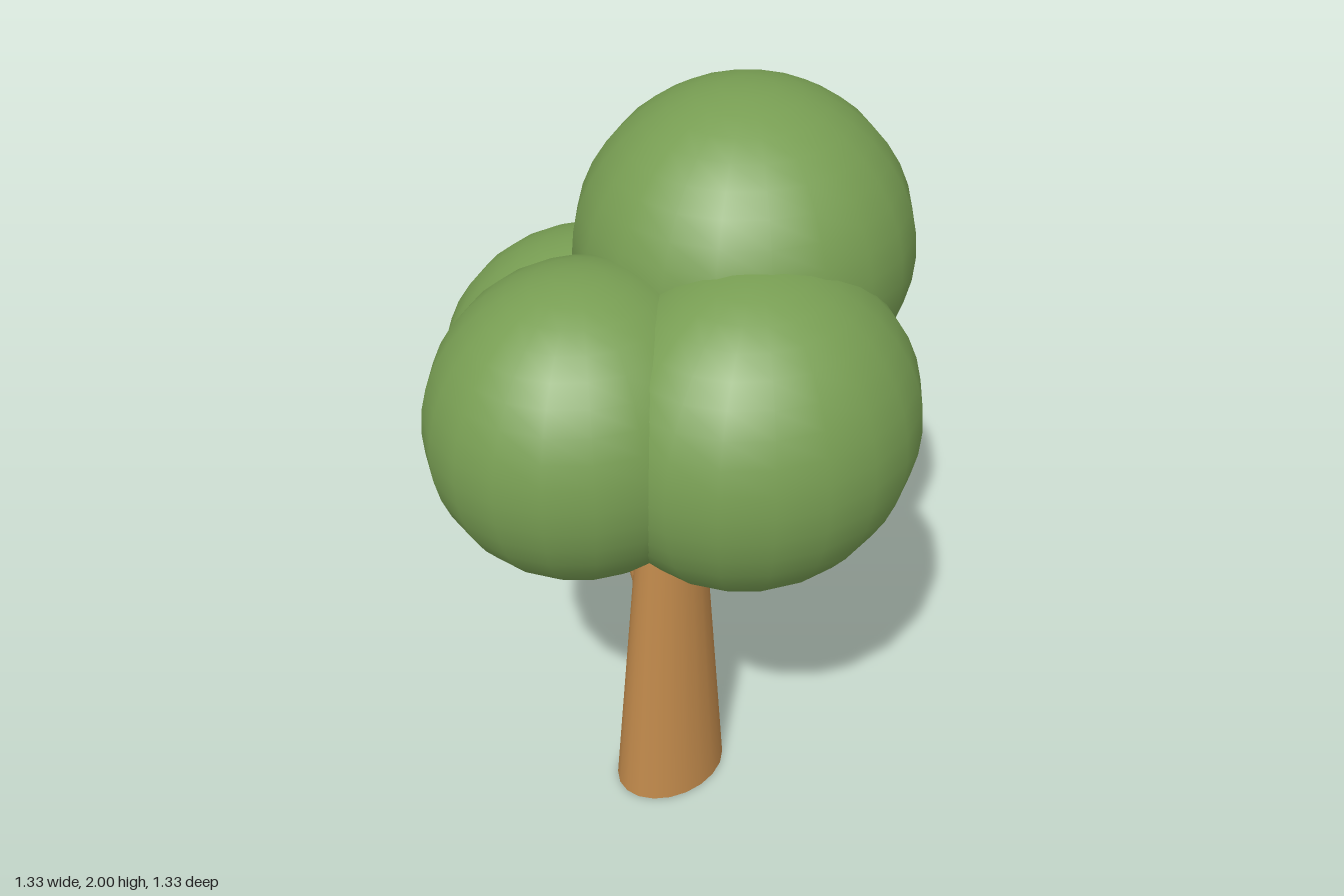
import * as THREE from 'three';

export function createModel() {
  const tree = new THREE.Group();
  tree.name = 'tree';
  const bark = new THREE.MeshStandardMaterial({ name: 'bark brown', color: 0xc0894b });
  const leaf = new THREE.MeshStandardMaterial({ name: 'leaf green', color: 0x789e53 });

  const add = (name, geometry, material) => {
    const mesh = new THREE.Mesh(geometry, material);
    mesh.name = name;
    tree.add(mesh);
    return mesh;
  };

  // Tapered trunk, wider front to back than side to side
  const trunk = add('trunk', new THREE.CylinderGeometry(0.074, 0.126, 0.86, 20), bark);
  trunk.scale.z = 1.33;
  trunk.position.set(0.012, 0.43, 0);

  // Oval limbs leaning sideways from inside the trunk into the leaves
  const addBranch = (name, from, to, radius) => {
    const a = new THREE.Vector2(...from), b = new THREE.Vector2(...to);
    const d = b.clone().sub(a);
    const limb = add(name, new THREE.CylinderGeometry(radius, radius, d.length(), 16), bark);
    limb.scale.z = 1.3;
    limb.position.set((a.x + b.x) / 2, (a.y + b.y) / 2, 0);
    limb.rotation.z = -Math.atan2(d.x, d.y);
  };
  addBranch('rightBranch', [-0.01, 0.53], [-0.21, 1.02], 0.046);
  addBranch('leftBranch', [0.015, 0.745], [0.25, 1.1], 0.043);

  // Four overlapping leaf clumps: centre and radii
  const clumps = [
    ['topBackFoliage', [0.01, 1.59, -0.245], [0.41, 0.41, 0.422]],
    ['frontFoliage', [0.008, 1.325, 0.28], [0.365, 0.385, 0.385]],
    ['leftFoliage', [0.28, 1.32, -0.01], [0.382, 0.41, 0.42]],
    ['rightFoliage', [-0.285, 1.19, -0.005], [0.382, 0.382, 0.39]],
  ];
  for (const [name, centre, radii] of clumps) {
    const clump = add(name, new THREE.SphereGeometry(1, 20, 20), leaf);
    clump.position.set(...centre);
    clump.scale.set(...radii);
  }
  return tree;
}
